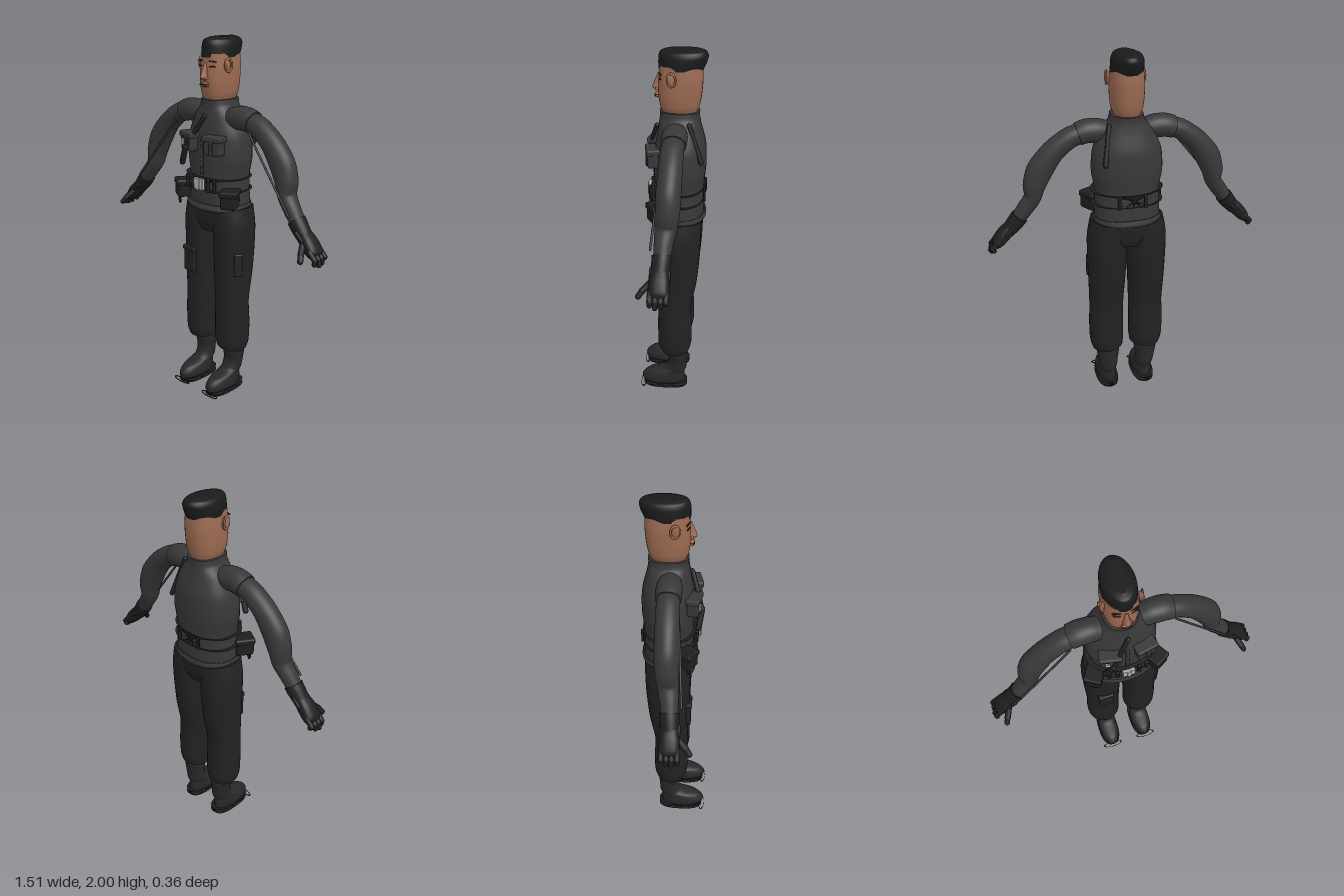
import * as THREE from 'three';
import { RoundedBoxGeometry } from 'three/addons/geometries/RoundedBoxGeometry.js';

const mat = (name, color) => Object.assign(new THREE.MeshStandardMaterial({ color }), { name });

// Closed smooth body swept through rings [x, y, z, radius across, radius in z]; e squares the section
function sweep(rings, { steps = 6, n = 32, e = 2 } = {}) {
  const V = (f) => new THREE.CatmullRomCurve3(rings.map(f), false, 'catmullrom', 0.4);
  const mid = V((r) => new THREE.Vector3(r[0], r[1], r[2]));
  const rad = V((r) => new THREE.Vector3(r[3], r[4], 0));
  const count = (rings.length - 1) * steps, pos = [], idx = [];
  const sq = (v) => Math.sign(v) * Math.abs(v) ** (2 / e);
  const ring = (t) => {
    const c = mid.getPoint(t), r = rad.getPoint(t), d = mid.getTangent(t);
    const l = Math.hypot(d.x, d.y) || 1;
    for (let j = 0; j < n; j++) {
      const a = (j / n) * Math.PI * 2, u = sq(Math.cos(a)) * r.x, w = sq(Math.sin(a)) * r.y;
      pos.push(c.x + (d.y / l) * u, c.y - (d.x / l) * u, c.z + w);
    }
    return c;
  };
  for (let i = 0; i <= count; i++) ring(i / count);
  for (let i = 0; i < count; i++) for (let j = 0; j < n; j++) {
    const a = i * n + j, b = i * n + ((j + 1) % n);
    idx.push(a, a + n, b, b, a + n, b + n);
  }
  // End caps with their own vertices, so the rims stay sharp
  for (const t of [0, 1]) {
    const s = pos.length / 3, c = ring(t), m = pos.length / 3;
    pos.push(c.x, c.y, c.z);
    for (let j = 0; j < n; j++) {
      const a = s + j, b = s + ((j + 1) % n);
      t ? idx.push(m, b, a) : idx.push(m, a, b);
    }
  }
  const g = new THREE.BufferGeometry();
  g.setAttribute('position', new THREE.Float32BufferAttribute(pos, 3));
  g.setIndex(idx);
  g.computeVertexNormals();
  return g;
}

export function createModel() {
  const root = new THREE.Group();
  root.name = 'uniformedFigure';
  const shirt = mat('charcoal shirt', 0x383838), pants = mat('black trousers', 0x222222);
  const gear = mat('black gear', 0x1e1e1e), cap = mat('cap black', 0x191b1b);
  const boot = mat('boot grey', 0x282828), skin = mat('brown skin', 0x9c6a52);
  const ink = mat('face lines', 0x2a1a14), steel = mat('steel', 0xb4b4b4);

  const add = (name, geo, m, p = [0, 0, 0], rot = [0, 0, 0], parent = root) => {
    const o = new THREE.Mesh(geo, m);
    o.name = name;
    o.position.set(...p);
    o.rotation.set(...rot);
    parent.add(o);
    return o;
  };
  const box = (w, h, d, r = 0.01) => new RoundedBoxGeometry(w, h, d, 2, Math.min(r, w / 3, h / 3, d / 3));
  const rod = (name, a, b, r, m) => {
    const A = new THREE.Vector3(...a), D = new THREE.Vector3(...b).sub(A), L = D.length();
    const o = add(name, new THREE.CapsuleGeometry(r, L, 4, 10), m);
    o.position.copy(A).addScaledVector(D, 0.5);
    o.quaternion.setFromUnitVectors(new THREE.Vector3(0, 1, 0), D.normalize());
  };

  // Head and neck
  add('head', sweep([
    [0, 1.64, -0.04, 0.06, 0.075], [0, 1.68, -0.035, 0.068, 0.09], [0, 1.715, -0.035, 0.08, 0.102],
    [0, 1.77, -0.036, 0.086, 0.111], [0, 1.85, -0.04, 0.087, 0.113], [0, 1.92, -0.04, 0.08, 0.11],
  ], { e: 2.4 }), skin);
  add('nose', sweep([
    [0, 1.785, 0.07, 0.008, 0.012], [0, 1.8, 0.075, 0.02, 0.03], [0, 1.82, 0.073, 0.014, 0.028],
    [0, 1.875, 0.066, 0.008, 0.012],
  ], { n: 16 }), skin);
  for (const y of [1.757, 1.769]) add('lip', new THREE.SphereGeometry(1, 16, 10), skin, [0, y, 0.076]).scale.set(0.028, 0.007, 0.018);
  add('mouthLine', box(0.048, 0.004, 0.008), ink, [0, 1.763, 0.09]);

  // Flat-topped cap, fuller at the back
  add('cap', sweep([
    [0, 1.9, -0.04, 0.083, 0.114], [0, 1.93, -0.046, 0.083, 0.121], [0, 1.965, -0.052, 0.08, 0.125],
    [0, 1.988, -0.052, 0.068, 0.115], [0, 2.0, -0.053, 0.035, 0.085],
  ]), cap);
  add('capSeam', box(0.004, 0.006, 0.17), gear, [0, 1.997, -0.053]);

  // Shirt body, collar and hem
  add('shirtBody', sweep([
    [0, 1.1, -0.035, 0.182, 0.135], [0, 1.27, -0.035, 0.174, 0.132], [0, 1.38, -0.038, 0.19, 0.138],
    [0, 1.5, -0.04, 0.18, 0.133], [0, 1.6, -0.036, 0.135, 0.112], [0, 1.65, -0.035, 0.095, 0.104],
    [0, 1.685, -0.035, 0.085, 0.104],
  ], { e: 2.3 }), shirt);
  add('shirtHem', sweep([
    [0, 1.09, -0.032, 0.178, 0.14], [0, 1.105, -0.03, 0.188, 0.151], [0, 1.13, -0.032, 0.184, 0.143],
  ], { e: 2.3 }), shirt);
  add('placket', box(0.022, 0.2, 0.008), shirt, [0, 1.39, 0.1]);
  for (let i = 0; i < 7; i++) add('button', new THREE.SphereGeometry(0.004, 8, 6), steel, [0, 1.31 + i * 0.03, 0.104]);

  // Belt, loops and buckle
  add('belt', sweep([[0, 1.207, -0.028, 0.197, 0.147], [0, 1.274, -0.028, 0.194, 0.146]], { e: 2.3, steps: 1 }), gear);
  add('buckle', box(0.068, 0.062, 0.02, 0.004), steel, [0, 1.241, 0.122]);
  add('buckleBar', box(0.022, 0.064, 0.008, 0.002), steel, [0, 1.241, 0.133]);
  for (const x of [-0.1, -0.06, 0.06, 0.1]) add('beltLoop', box(0.018, 0.076, 0.016), gear, [x, 1.241, x * x > 0.006 ? 0.11 : 0.117]);
  for (const x of [-0.07, 0.07]) add('backBeltLoop', box(0.018, 0.076, 0.014), gear, [x, 1.241, -0.172]);

  // Seat of the trousers
  add('hips', sweep([
    [0, 0.96, -0.035, 0.13, 0.1], [0, 1.01, -0.036, 0.19, 0.118], [0, 1.06, -0.037, 0.205, 0.125],
    [0, 1.12, -0.037, 0.185, 0.128],
  ], { e: 2.3 }), pants);

  for (const s of [1, -1]) {
    const side = s > 0 ? 'left' : 'right';
    const X = (rings) => rings.map(([x, ...r]) => [x * s, ...r]);

    // Face details
    add(side + 'Eye', box(0.034, 0.007, 0.008), ink, [s * 0.042, 1.856, 0.064], [0, s * 0.25, 0]);
    add(side + 'Brow', box(0.044, 0.006, 0.009), ink, [s * 0.043, 1.882, 0.063], [0, s * 0.25, -s * 0.08]);
    add(side + 'Nostril', new THREE.SphereGeometry(0.009, 10, 8), skin, [s * 0.016, 1.797, 0.082]);
    add(side + 'Ear', new THREE.SphereGeometry(1, 16, 12), skin, [s * 0.092, 1.862, 0.002], [0.15, s * 0.35, 0]).scale.set(0.012, 0.036, 0.022);
    add(side + 'EarRim', new THREE.TorusGeometry(0.022, 0.005, 8, 20), skin, [s * 0.098, 1.864, 0.002], [0, Math.PI / 2 - s * 0.2, 0]).scale.y = 1.45;

    // Sleeves
    add(side + 'ShoulderSleeve', sweep(X([
      [0.08, 1.585, -0.022, 0.05, 0.055], [0.15, 1.597, -0.022, 0.062, 0.064], [0.21, 1.598, -0.022, 0.062, 0.066],
      [0.255, 1.585, -0.022, 0.059, 0.064],
    ])), shirt);
    add(side + 'Sleeve', sweep(X([
      [0.22, 1.595, -0.022, 0.052, 0.055], [0.3, 1.567, -0.02, 0.055, 0.058], [0.385, 1.502, -0.018, 0.06, 0.06],
      [0.455, 1.41, -0.016, 0.069, 0.062], [0.49, 1.325, -0.014, 0.06, 0.06], [0.502, 1.255, -0.008, 0.045, 0.055],
      [0.545, 1.19, 0, 0.043, 0.047], [0.6, 1.115, 0.006, 0.036, 0.04],
    ])), shirt);
    rod(side + 'SleeveCord', [s * 0.27, 1.54, 0.03], [s * 0.57, 1.175, 0.062], 0.006, shirt);

    // Gloves
    add(side + 'GloveCuff', sweep(X([
      [0.575, 1.147, 0.004, 0.046, 0.05], [0.6, 1.115, 0.006, 0.045, 0.048], [0.645, 1.062, 0.01, 0.037, 0.043],
    ])), gear);
    add(side + 'GlovePalm', sweep(X([
      [0.63, 1.085, 0.009, 0.034, 0.042], [0.665, 1.05, 0.01, 0.037, 0.05], [0.7, 1.01, 0.01, 0.032, 0.05],
      [0.715, 0.99, 0.01, 0.02, 0.042],
    ]), { e: 2.5 }), gear);
    for (let i = 0; i < 4; i++) {
      const z = -0.028 + i * 0.026, k = [0.016, 0.004, 0, 0.008][i];
      rod(side + 'Finger', [s * 0.7, 1.02, z], [s * 0.734, 0.985, z], 0.0145, gear);
      rod(side + 'FingerTip', [s * 0.734, 0.985, z], [s * (0.741 - k), 0.957 + k, z], 0.0135, gear);
    }
    rod(side + 'Thumb', [s * 0.65, 1.055, 0.04], [s * 0.678, 1.01, 0.09], 0.017, gear);
    rod(side + 'ThumbTip', [s * 0.678, 1.01, 0.09], [s * 0.69, 0.985, 0.108], 0.015, gear);
    add(side + 'GloveStrap', box(0.024, 0.07, 0.104), gear, [s * 0.632, 1.08, 0.009], [0, 0, -s * 0.7 + s * Math.PI / 2]);

    // Trouser leg, gathered at the calf
    add(side + 'TrouserLeg', sweep(X([
      [0.11, 0.27, -0.022, 0.088, 0.084], [0.116, 0.32, -0.02, 0.098, 0.096], [0.118, 0.42, -0.02, 0.099, 0.097],
      [0.115, 0.56, -0.018, 0.098, 0.094], [0.113, 0.72, -0.03, 0.104, 0.11], [0.111, 0.88, -0.035, 0.11, 0.12],
      [0.11, 1.0, -0.036, 0.11, 0.124], [0.1, 1.1, -0.037, 0.1, 0.124],
    ])), pants);

    // Boot, sole and wire loop at the toe
    add(side + 'Boot', sweep(X([
      [0.11, 0.025, 0.046, 0.056, 0.122], [0.11, 0.06, 0.048, 0.06, 0.126], [0.11, 0.095, 0.032, 0.055, 0.11],
      [0.11, 0.125, -0.022, 0.053, 0.066], [0.112, 0.18, -0.038, 0.058, 0.052], [0.113, 0.24, -0.037, 0.067, 0.058],
      [0.114, 0.3, -0.035, 0.07, 0.062],
    ])), boot);
    add(side + 'Sole', sweep(X([[0.11, 0.006, 0.036, 0.064, 0.13], [0.11, 0.032, 0.036, 0.064, 0.13]]), { steps: 1, e: 2.6 }), gear);
    add(side + 'ToeWire', new THREE.TorusGeometry(0.058, 0.004, 6, 28), gear, [s * 0.115, 0.012, 0.164], [Math.PI / 2, 0, 0]).scale.y = 0.28;
    for (const z of [-0.04, 0.03, 0.1]) add(side + 'SoleStud', new THREE.CylinderGeometry(0.05, 0.05, 0.008, 16), gear, [s * 0.11, 0.004, z]);

    // Chest pocket with flap and pleat
    const c = new THREE.Group();
    c.name = side + 'ChestPocket';
    c.position.set(s * 0.091, 1.46, 0.1);
    c.rotation.y = s * 0.2;
    root.add(c);
    add('pocket', box(0.104, 0.085, 0.06, 0.014), shirt, [0, -0.01, 0], undefined, c);
    add('flap', box(0.116, 0.03, 0.07, 0.008), shirt, [0, 0.035, 0], undefined, c);
    add('pleat', box(0.022, 0.08, 0.012, 0.004), shirt, [0, -0.01, 0.03], undefined, c);

    // Belt pouch
    add(side + 'BeltPouch', box(0.09, 0.09, 0.1, 0.016), gear, [s * 0.172, 1.173, 0.065], [0, s * 0.55, 0]);
    add(side + 'BeltPouchFlap', box(0.098, 0.034, 0.108, 0.01), gear, [s * 0.172, 1.212, 0.065], [0, s * 0.55, 0]);
  }

  // Badge, baton across the chest and baton on the back
  add('badge', box(0.026, 0.034, 0.009, 0.003), steel, [-0.113, 1.455, 0.131], [0, -0.2, 0]);
  rod('chestBaton', [0.005, 1.6, 0.085], [-0.085, 1.43, 0.14], 0.012, gear);
  rod('chestBatonGrip', [-0.085, 1.43, 0.14], [-0.126, 1.34, 0.125], 0.016, gear);
  rod('backBaton', [0.105, 1.635, -0.09], [0.14, 1.45, -0.155], 0.013, gear);
  add('cuffRing', new THREE.TorusGeometry(0.03, 0.005, 8, 24), gear, [-0.19, 1.12, 0.09], [0, -0.6, 0]);

  // Thigh pockets
  add('rightThighPocket', box(0.086, 0.135, 0.03, 0.01), pants, [-0.12, 0.757, 0.078]);
  add('rightThighFlap', box(0.092, 0.03, 0.036, 0.008), pants, [-0.12, 0.83, 0.08]);
  add('leftThighPocket', box(0.02, 0.13, 0.05, 0.008), pants, [0.203, 0.8, 0.025], [0, -0.55, 0]);

  return root;
}
